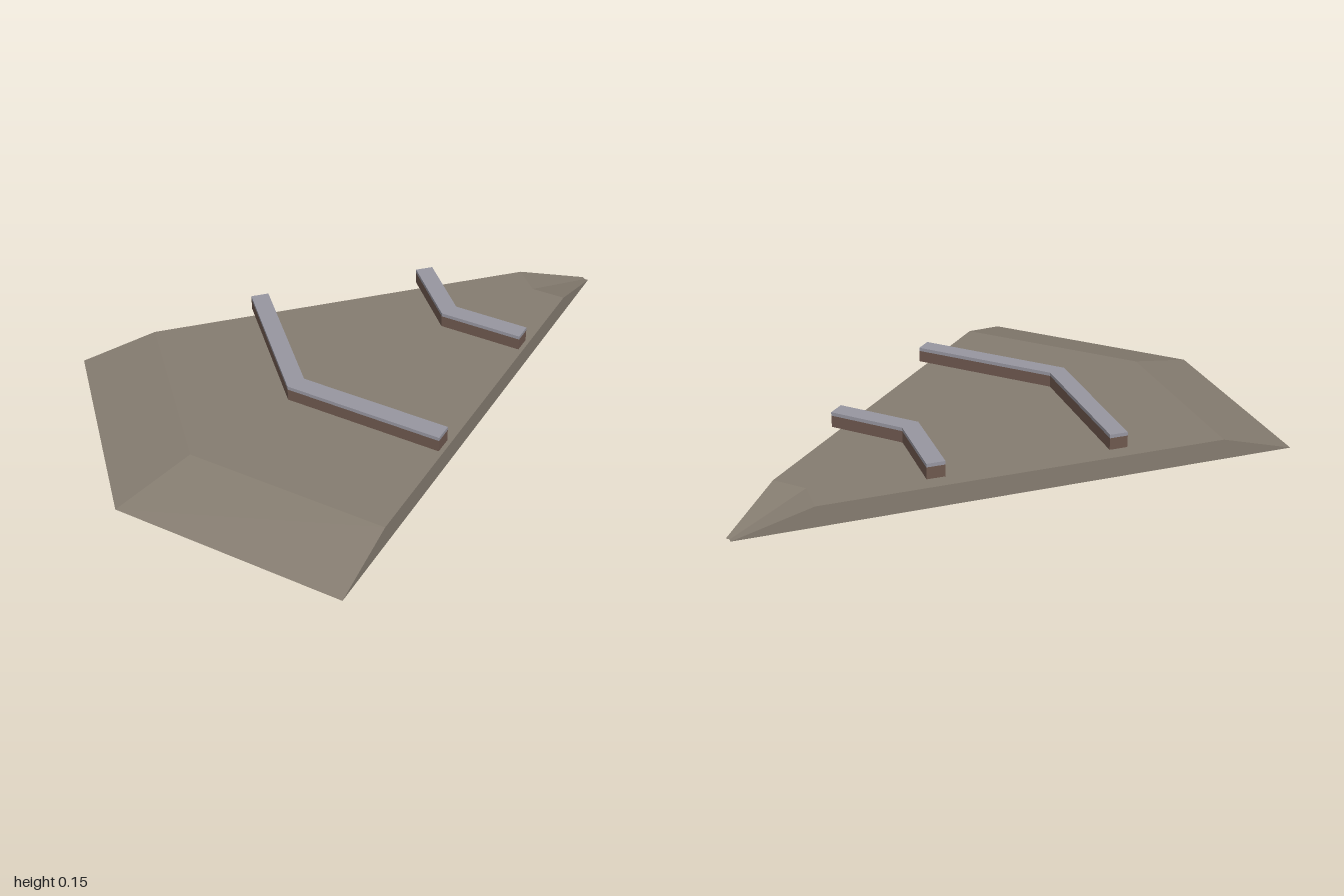
import * as THREE from 'three';

const SWEEP = 0.415; // x shift of every chevron line per unit of z

// Side end of a chevron line whose apex is at x0, where it meets the kite outline
function sideEnd(x0) {
  const z = (0.4267 - 0.4147 * x0) / 1.172;
  return [x0 + SWEEP * z, z];
}

// Thin open-bottomed hull: chevron lines joined by strips, with upright side walls
function hullGeometry() {
  const stations = [[-1, 0], [-0.73, 0.07], [0.72, 0.07], [0.994, 0]];
  const pos = [];
  const quad = (a, b, c, d) => pos.push(...a, ...b, ...c, ...a, ...c, ...d);
  for (const s of [1, -1]) {
    const centre = stations.map(([x, y]) => [x, y, 0]);
    const side = stations.map(([x0, y]) => {
      const [x, z] = sideEnd(x0);
      return [x, y, s * z];
    });
    const face = (a, b, c, d) => (s > 0 ? quad(a, b, c, d) : quad(d, c, b, a));
    for (let i = 0; i < 3; i++) face(centre[i], side[i], side[i + 1], centre[i + 1]);
    face(side[0], side[3], side[2], side[1]);
  }
  const geo = new THREE.BufferGeometry();
  geo.setAttribute('position', new THREE.Float32BufferAttribute(pos, 3));
  geo.computeVertexNormals();
  return geo;
}

// Solid chevron between two apex positions and two heights
function chevronGeometry(back, front, y0, y1) {
  const [bx, bz] = sideEnd(back);
  const [fx, fz] = sideEnd(front);
  const shape = new THREE.Shape(
    [[back, 0], [bx, -bz], [fx, -fz], [front, 0], [fx, fz], [bx, bz]]
      .map(([x, y]) => new THREE.Vector2(x, y)));
  const geo = new THREE.ExtrudeGeometry(shape, { depth: y1 - y0, bevelEnabled: false });
  return geo.rotateX(-Math.PI / 2).translate(0, y0, 0);
}

export function createModel() {
  const stone = new THREE.MeshStandardMaterial({ color: 0x857c70, side: THREE.DoubleSide });
  stone.name = 'warm grey';
  const brown = new THREE.MeshStandardMaterial({ color: 0x6e584e });
  brown.name = 'brown';
  const steel = new THREE.MeshStandardMaterial({ color: 0x9796a0 });
  steel.name = 'blue grey';

  const model = new THREE.Group();
  model.name = 'arrowPlate';
  const add = (name, geo, mat) => {
    const mesh = new THREE.Mesh(geo, mat);
    mesh.name = name;
    model.add(mesh);
  };

  add('hull', hullGeometry(), stone);

  // Two floating chevron bars with lighter caps
  for (const [name, back, front] of [['rearBar', -0.36, -0.295], ['frontBar', 0.285, 0.35]]) {
    add(name, chevronGeometry(back, front, 0.1, 0.14), brown);
    add(name + 'Cap', chevronGeometry(back, front, 0.14, 0.152), steel);
  }
  return model;
}
